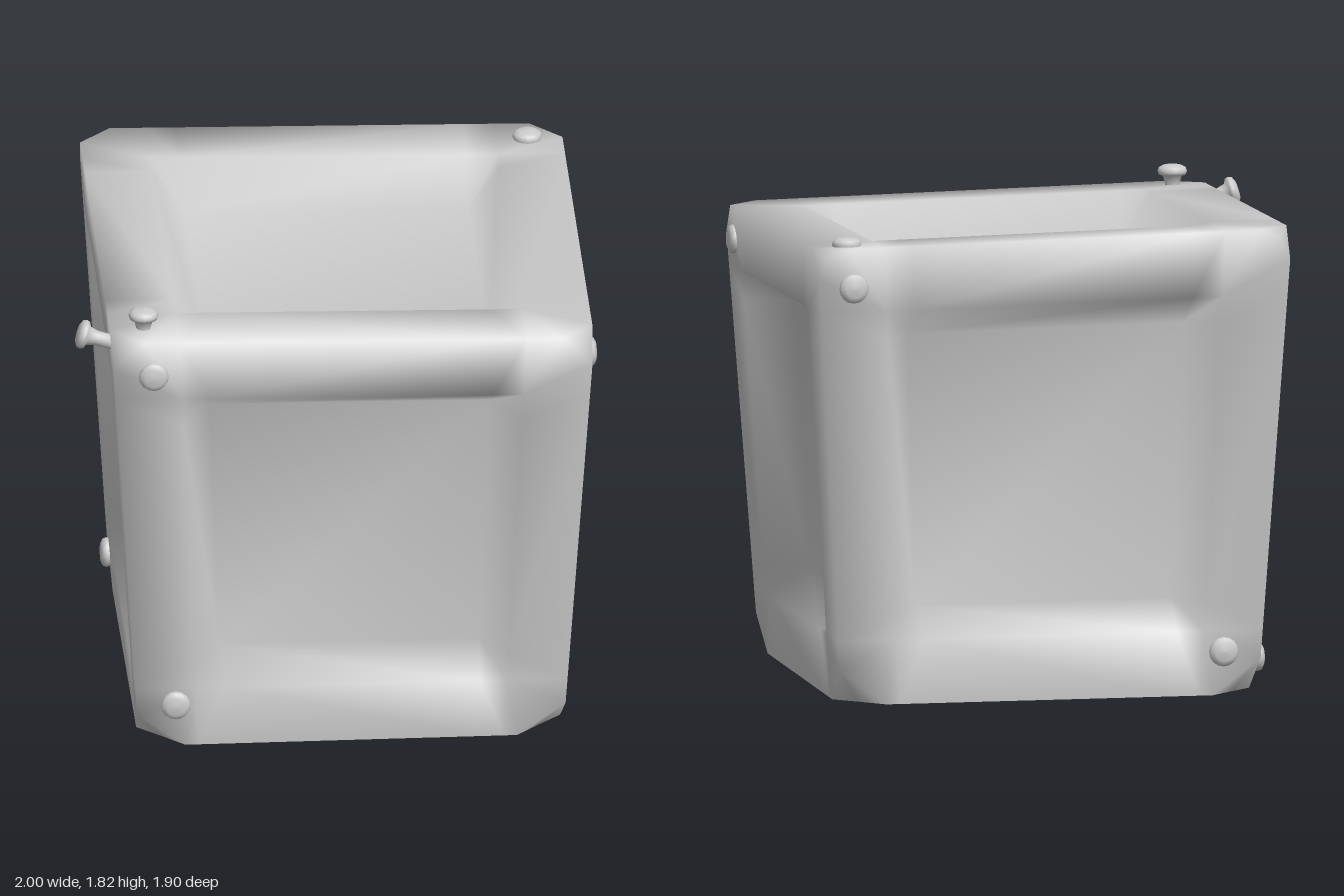
import * as THREE from 'three';
import { mergeVertices } from 'three/addons/utils/BufferGeometryUtils.js';

const material = new THREE.MeshStandardMaterial({ color: 0xcccccc, side: THREE.DoubleSide });

// Grid lines across each side: edge, corner cut, frame, sunken panel
const FRAME = 0.72;
const PANEL = 0.595;
const KNOTS = [-1, -0.87, -FRAME, -PANEL, PANEL, FRAME, 0.87, 1];

// Turns a point of a unit cube into a point of the leaning, flared crate
function shape(p, axis) {
  const c = p.toArray();
  const a = c.map(Math.abs);
  const outer = a.filter((v) => v > 0.999).length;
  const low = c[1] < -0.86;
  if (outer === 3) {
    // corners are cut off flat; the lower cuts end in a straight line on the ground
    c[0] *= low ? 0.89 : 0.957;
    c[2] *= low ? 0.89 : 0.957;
    if (!low) c[1] *= 0.957;
  } else if (outer === 2) {
    // lower corner cuts are larger than the upper ones
    for (let i = 0; i < 3; i++) if (low && a[i] > 0.86 && a[i] < 0.9) c[i] *= i === 1 ? 0.97 : 0.9;
  } else {
    // the frame is a single strip from the edge to the deep sloping wall of the panel
    for (let i = 0; i < 3; i++) if (i !== axis && a[i] > FRAME) c[i] = Math.sign(c[i]) * FRAME;
    if (a.every((v, i) => i === axis || v < 0.6)) c[axis] *= 0.805;
  }
  const h = (c[1] + 1) / 2;
  const half = 0.81 + 0.112 * h;
  const top = 1.754 - 0.018 * c[0] - 0.034 * c[2];
  return [0.053 + c[0] * half, h * top, c[2] * half];
}

// Five sides of the crate as one smooth shell, open underneath
function shellGeometry() {
  const V = (x, y, z) => new THREE.Vector3(x, y, z);
  const sides = [
    [V(0, 0, 1), V(1, 0, 0), 2], [V(0, 0, -1), V(-1, 0, 0), 2],
    [V(1, 0, 0), V(0, 0, -1), 0], [V(-1, 0, 0), V(0, 0, 1), 0],
    [V(0, 1, 0), V(1, 0, 0), 1],
  ];
  const positions = [];
  const index = [];
  const n = KNOTS.length;
  const lowHalf = (i) => i < n / 2 - 1;
  for (const [normal, u, axis] of sides) {
    const v = normal.clone().cross(u);
    const base = positions.length / 3;
    for (let j = 0; j < n; j++) {
      for (let i = 0; i < n; i++) {
        const p = normal.clone().addScaledVector(u, KNOTS[i]).addScaledVector(v, KNOTS[j]);
        positions.push(...shape(p, axis));
        if (i === n - 1 || j === n - 1) continue;
        const k = base + j * n + i;
        // diagonals run across the outer corners so the cuts stay flat
        const rim = Math.min(i, n - 2 - i) === 0 && Math.min(j, n - 2 - j) === 0;
        if ((lowHalf(i) === lowHalf(j)) === rim) index.push(k, k + 1, k + n, k + 1, k + n + 1, k + n);
        else index.push(k, k + 1, k + n + 1, k, k + n + 1, k + n);
      }
    }
  }
  const geometry = new THREE.BufferGeometry();
  geometry.setAttribute('position', new THREE.Float32BufferAttribute(positions, 3));
  geometry.setIndex(index);
  const merged = mergeVertices(geometry, 1e-4);
  merged.computeVertexNormals();
  return merged;
}

// Domed nail head, with a short neck when the nail stands proud; points along +y
const HEAD = [[0.053, 0.004], [0.057, 0.016], [0.052, 0.03], [0.034, 0.039], [0, 0.042]];
const lathe = (points) =>
  new THREE.LatheGeometry(points.map(([x, y]) => new THREE.Vector2(x, y)), 16);
const flushNail = lathe([[0, -0.02], [0.035, -0.018], [0.05, -0.01], ...HEAD]);
const looseNail = lathe([[0, -0.1], [0.028, -0.1], [0.028, -0.035], [0.036, -0.004], ...HEAD]);

// Head base position, then direction
const NAILS = [
  ['frontTopNail', flushNail, [-0.71, 1.595, 0.908], [0, 0, 1]],
  ['frontBottomNail', flushNail, [-0.62, 0.18, 0.825], [0, 0, 1]],
  ['leftTopNail', flushNail, [0.953, 1.58, 0.77], [1, 0, 0]],
  ['backTopNail', flushNail, [0.835, 1.62, -0.905], [0, 0, -1]],
  ['backBottomNail', flushNail, [-0.62, 0.17, -0.815], [0, 0, -1]],
  ['rightBottomNail', flushNail, [-0.76, 0.13, -0.7], [-1, 0, 0]],
  ['rightTopLooseNail', looseNail, [-0.953, 1.707, 0.768], [-1, 0.3, -0.06]],
  ['topFrontLooseNail', looseNail, [-0.74, 1.777, 0.785], [0, 1, 0]],
  ['topBackNail', flushNail, [0.84, 1.76, -0.8], [0, 1, 0]],
];

export function createModel() {
  const model = new THREE.Group();
  model.name = 'crate';

  const shell = new THREE.Mesh(shellGeometry(), material);
  shell.name = 'crateShell';
  model.add(shell);

  for (const [name, geometry, position, direction] of NAILS) {
    const nail = new THREE.Mesh(geometry, material);
    nail.name = name;
    nail.position.set(...position);
    nail.quaternion.setFromUnitVectors(
      new THREE.Vector3(0, 1, 0), new THREE.Vector3(...direction).normalize());
    model.add(nail);
  }
  return model;
}
